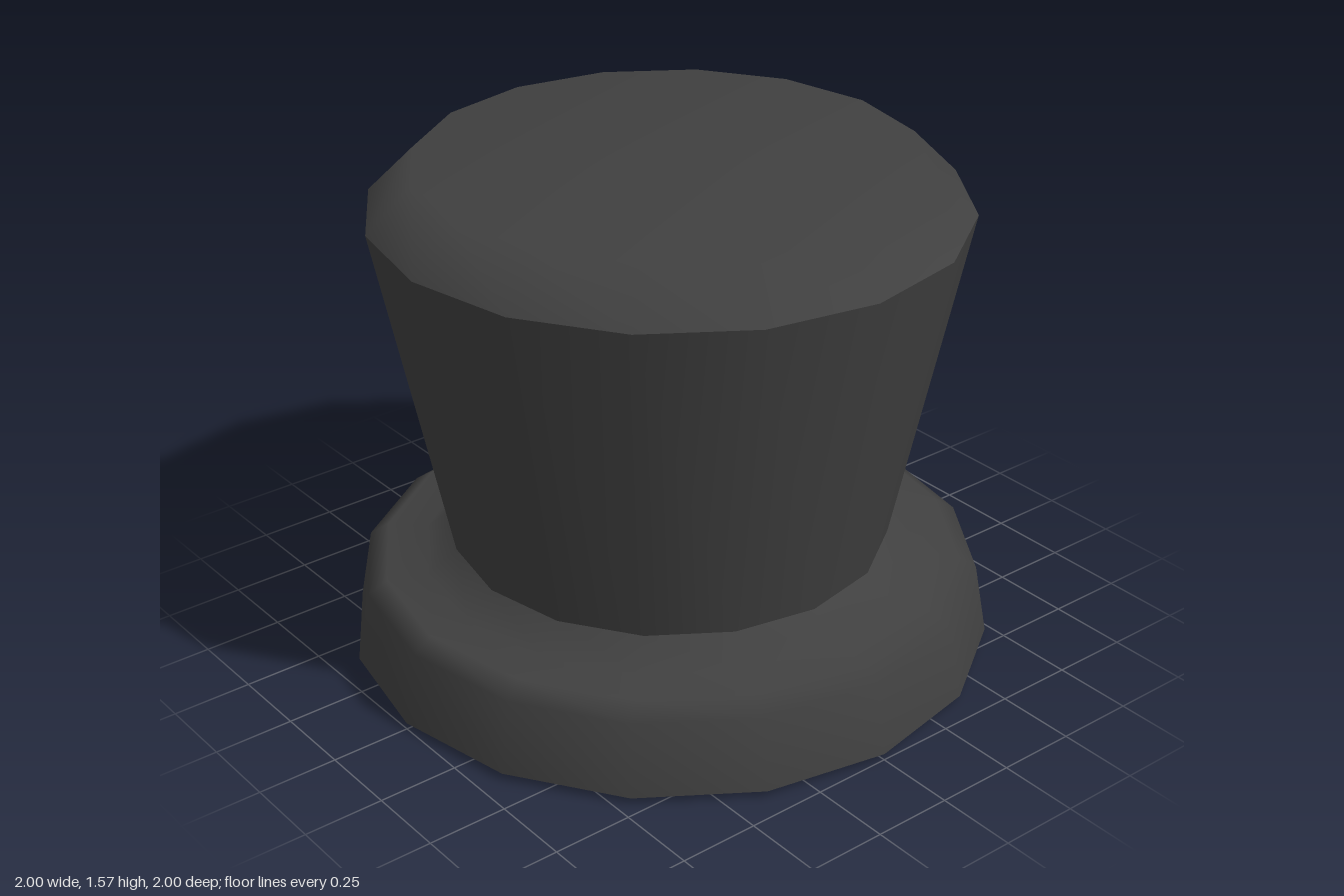
import * as THREE from 'three';

const SIDES = 16;

export function createModel() {
  const felt = new THREE.MeshStandardMaterial({ color: 0x404040 });
  felt.name = 'charcoal felt';

  const hat = new THREE.Group();
  hat.name = 'topHat';

  // Each section is smooth inside; hard edges fall between sections.
  const addSection = (name, profile) => {
    const points = profile.map(([r, y]) => new THREE.Vector2(r, y));
    const mesh = new THREE.Mesh(new THREE.LatheGeometry(points, SIDES), felt);
    mesh.name = name;
    hat.add(mesh);
  };

  // Head opening: flat ceiling, then flared wall down to the rim
  addSection('hollowCeiling', [[0, 0.3], [0.58, 0.3]]);
  addSection('hollowWall', [[0.58, 0.3], [0.73, 0]]);

  // Brim: slightly raised underside, sloped edge, rounded top, collar
  addSection('brimUnderside', [[0.73, 0], [1, 0.02]]);
  addSection('brim', [[1, 0.02], [0.96, 0.245], [0.9, 0.285], [0.77, 0.285], [0.68, 0.36]]);

  // Crown: flared wall and bevelled top
  addSection('crownWall', [[0.68, 0.36], [0.9, 1.43]]);
  addSection('crownTop', [[0.9, 1.43], [0.76, 1.57], [0, 1.57]]);

  return hat;
}
